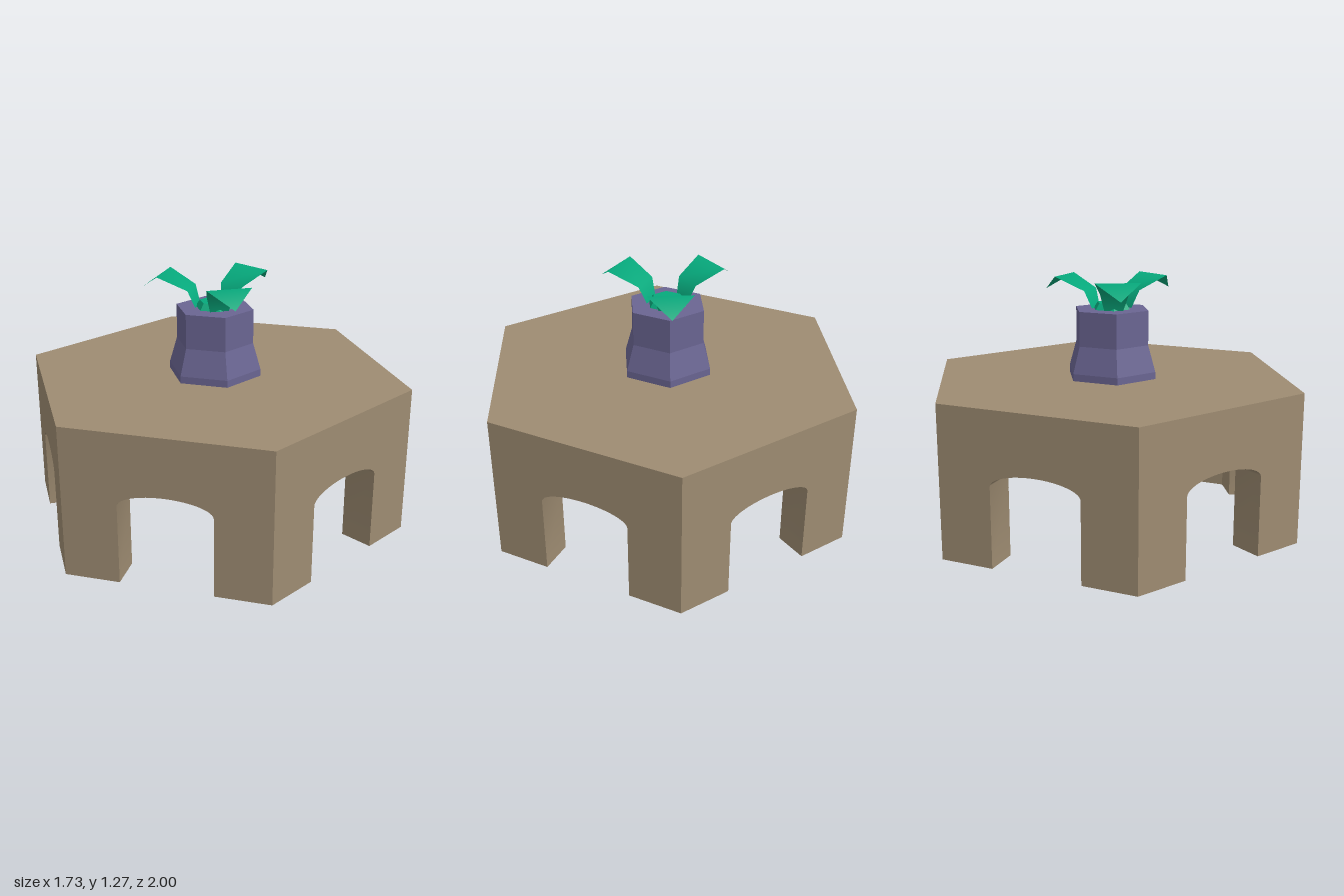
import * as THREE from 'three';
import { toCreasedNormals } from 'three/addons/utils/BufferGeometryUtils.js';

const HEIGHT = 0.764, CEILING = 0.51, WALL = 0.171;
const APOTHEM = Math.sqrt(3) / 2;
const INNER_RADIUS = (APOTHEM - WALL) / APOTHEM;

const mat = (name, color, extra = {}) => {
  const m = new THREE.MeshStandardMaterial({ color, ...extra });
  m.name = name;
  return m;
};

const part = (name, geometry, material) => {
  const mesh = new THREE.Mesh(geometry, material);
  mesh.name = name;
  return mesh;
};

// Hexagonal turned form with flat faces, corners on the z axis
function hexLathe(profile) {
  const points = profile.map(([r, y]) => new THREE.Vector2(r, y));
  const g = new THREE.LatheGeometry(points, 6).toNonIndexed();
  g.computeVertexNormals();
  return g;
}

// One wall of the base: panel with an arched doorway and mitred ends
function archWall() {
  const half = 0.228, spring = 0.4, rise = 0.07;
  const s = new THREE.Shape();
  s.moveTo(-0.5, 0);
  s.lineTo(-half, 0);
  s.lineTo(-half, spring);
  s.absellipse(0, spring, half, rise, Math.PI, 0, true);
  s.lineTo(half, 0);
  s.lineTo(0.5, 0);
  s.lineTo(0.5, HEIGHT);
  s.lineTo(-0.5, HEIGHT);
  s.closePath();
  const g = new THREE.ExtrudeGeometry(s, { depth: WALL, bevelEnabled: false, curveSegments: 16 });
  const p = g.attributes.position;
  for (let i = 0; i < p.count; i++) {
    if (p.getZ(i) < WALL / 2 && Math.abs(p.getX(i)) > 0.45) {
      p.setX(i, Math.sign(p.getX(i)) * INNER_RADIUS / 2);
    }
  }
  g.translate(0, 0, APOTHEM - WALL);
  return toCreasedNormals(g, 0.7);
}

// Leaf: a smooth strip that rises, bends outwards, widens and droops to a point (along +z)
function leafGeometry() {
  // distance from centre, height, half width
  const rows = [[0.085, 1.1, 0.045], [0.12, 1.2, 0.073], [0.265, 1.27, 0.112]];
  const pos = [], index = [];
  rows.forEach(([r, y, w], i) => {
    pos.push(-w, y, r, w, y, r);
    if (i > 0) {
      const a = 2 * (i - 1);
      index.push(a, a + 2, a + 1, a + 1, a + 2, a + 3);
    }
  });
  pos.push(0, 1.193, 0.372);
  const last = 2 * rows.length;
  index.push(last - 2, last, last - 1);
  const g = new THREE.BufferGeometry();
  g.setAttribute('position', new THREE.Float32BufferAttribute(pos, 3));
  g.setIndex(index);
  g.computeVertexNormals();
  return g;
}

export function createModel() {
  const model = new THREE.Group();
  model.name = 'hexagonalTableWithPlant';
  const stone = mat('tan stone', 0x9e8c72);
  const clay = mat('purple clay', 0x6a6592);
  const leafGreen = mat('leaf green', 0x06a97c, { side: THREE.DoubleSide });

  // Base: six arched walls around a solid top
  const base = new THREE.Group();
  base.name = 'base';
  const wall = archWall();
  for (let i = 0; i < 6; i++) {
    const mesh = part('archWall', wall, stone);
    mesh.rotation.y = Math.PI / 6 + i * Math.PI / 3;
    base.add(mesh);
  }
  base.add(part('topSlab', hexLathe([
    [0, CEILING], [INNER_RADIUS, CEILING], [INNER_RADIUS, HEIGHT], [0, HEIGHT],
  ]), stone));
  model.add(base);

  // Pot
  model.add(part('pot', hexLathe([
    [0.24, HEIGHT], [0.24, 0.8], [0.2, 0.935], [0.2, 1.11], [0, 1.11],
  ]), clay));

  // Plant: hexagonal heart and three leaves
  const plant = new THREE.Group();
  plant.name = 'plant';
  plant.add(part('plantHeart', hexLathe([[0.1, 1.11], [0.077, 1.142], [0, 1.142]]), leafGreen));
  const leaf = leafGeometry();
  for (let i = 0; i < 3; i++) {
    const mesh = part('leaf', leaf, leafGreen);
    mesh.rotation.y = Math.PI + i * Math.PI * 2 / 3;
    plant.add(mesh);
  }
  model.add(plant);
  return model;
}
